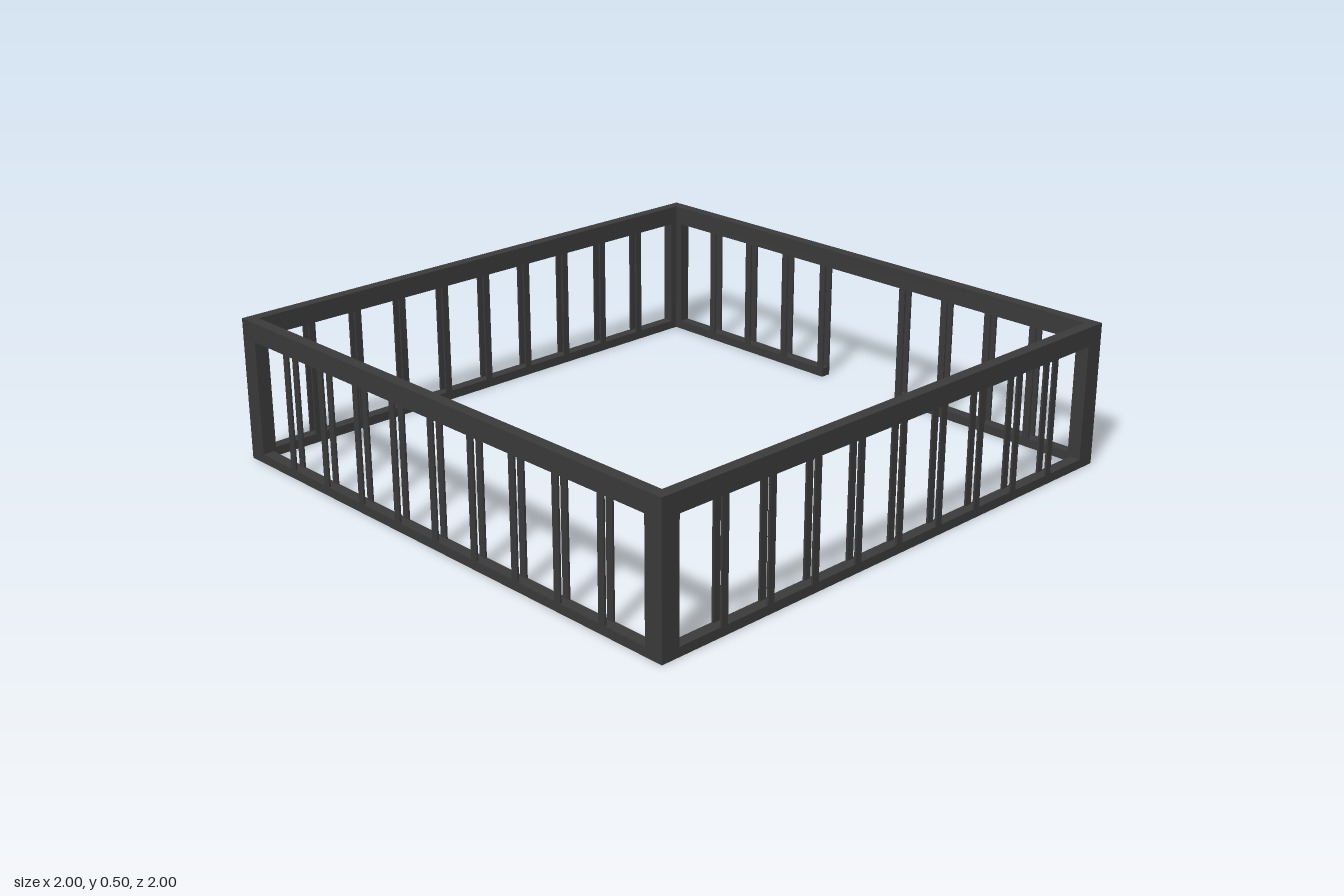
import * as THREE from 'three';

const H = 0.5;        // total height
const T = 0.04;       // wall thickness
const STILE = 0.067;  // corner post face width and top rail height
const SILL = 0.032;   // bottom rail height
const BAR_W = 0.026, BAR_D = 0.007, STEP = 0.189;

export function createModel() {
  const model = new THREE.Group();
  model.name = 'squareRailing';
  const metal = new THREE.MeshStandardMaterial({ color: 0x3a3a3a });
  metal.name = 'dark metal';

  const addBox = (parent, name, x0, x1, y0, y1, z0, z1) => {
    const mesh = new THREE.Mesh(new THREE.BoxGeometry(x1 - x0, y1 - y0, z1 - z0), metal);
    mesh.position.set((x0 + x1) / 2, (y0 + y1) / 2, (z0 + z1) / 2);
    mesh.name = name;
    parent.add(mesh);
  };

  // L-shaped corner post
  const a = 1 - STILE, b = 1 - T;
  const profile = [[1, 1], [a, 1], [a, b], [b, b], [b, a], [1, a]];
  const postGeometry = new THREE.ExtrudeGeometry(
    new THREE.Shape(profile.map(([x, y]) => new THREE.Vector2(x, y))),
    { depth: H, bevelEnabled: false }
  ).rotateX(-Math.PI / 2);

  const names = ['frontWall', 'leftWall', 'backWall', 'rightWall'];
  names.forEach((name, i) => {
    const wall = new THREE.Group();
    wall.name = name;
    wall.rotation.y = i * Math.PI / 2;
    const hasGateway = i === 1;

    const post = new THREE.Mesh(postGeometry, metal);
    post.name = 'cornerPost';
    wall.add(post);

    addBox(wall, 'topRail', -a, a, H - STILE, H, b, 1);

    // Bottom rail, interrupted by the gateway
    if (hasGateway) {
      const edge = STEP - BAR_W / 2;
      addBox(wall, 'bottomRail', -a, -edge, 0, SILL, b, 1);
      addBox(wall, 'bottomRail', edge, a, 0, SILL, b, 1);
    } else {
      addBox(wall, 'bottomRail', -a, a, 0, SILL, b, 1);
    }

    // Paired balusters, flush with the outer and inner faces
    for (let k = -4; k <= 4; k++) {
      if (hasGateway && k === 0) continue;
      const x = k * STEP;
      addBox(wall, 'outerBaluster', x - BAR_W / 2, x + BAR_W / 2, SILL, H - STILE, 1 - BAR_D, 1);
      addBox(wall, 'innerBaluster', x - BAR_W / 2, x + BAR_W / 2, SILL, H - STILE, b, b + BAR_D);
    }
    model.add(wall);
  });
  return model;
}
